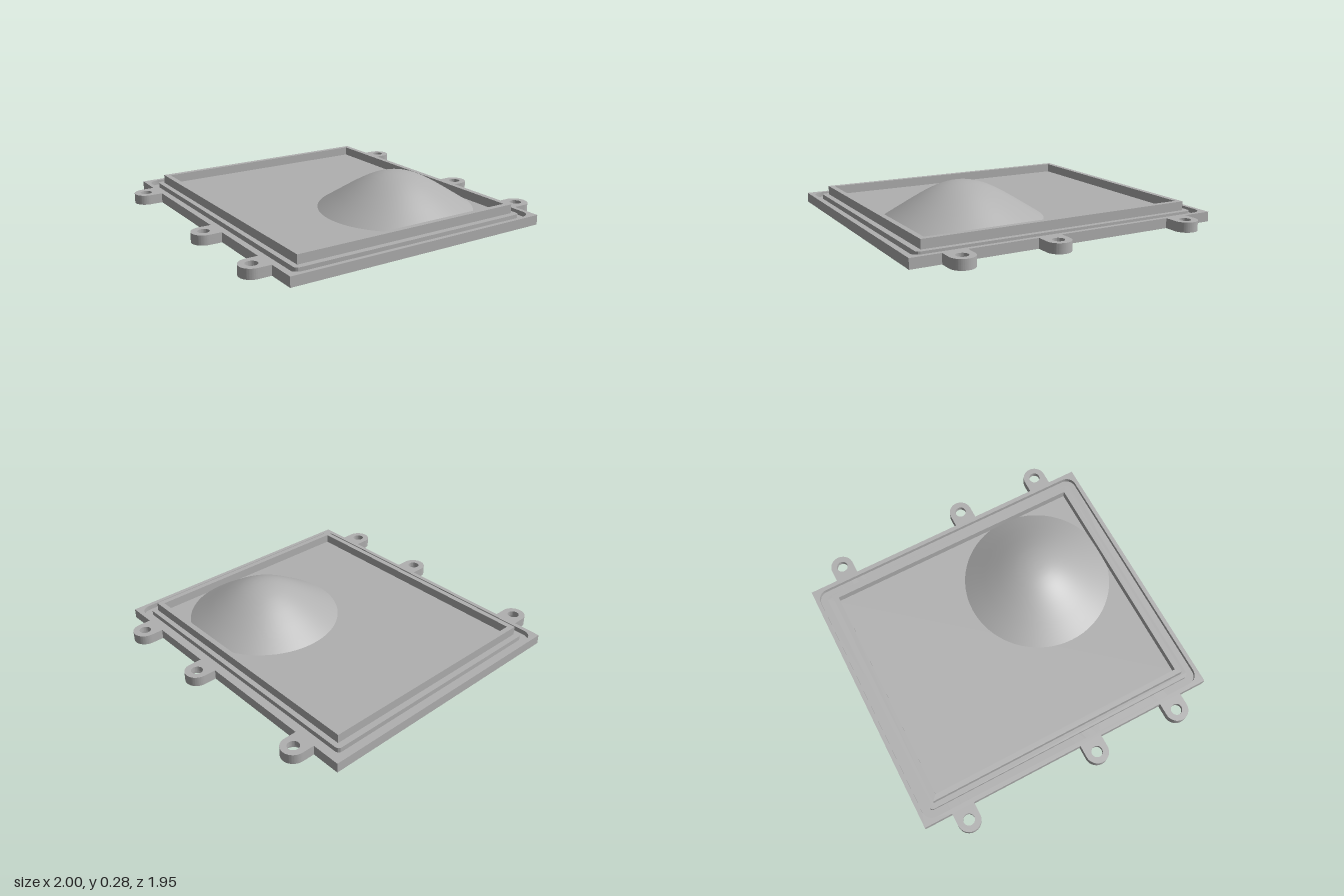
import * as THREE from 'three';
import { toCreasedNormals } from 'three/addons/utils/BufferGeometryUtils.js';

const grey = new THREE.MeshStandardMaterial({ color: 0xb0b0b0 });
grey.name = 'grey plastic';

const HALF_W = 0.85, HALF_D = 0.975;
const TAB_X = 0.927, TAB_R = 0.073, TAB_Z = [-0.722, 0.153, 0.722];
const DOME_X = 0.248, DOME_Z = 0.375;

// Plate outline with three round-ended tabs along each side (shape y is world z)
function plateOutline() {
  const s = new THREE.Shape();
  s.moveTo(-HALF_W, -HALF_D);
  s.lineTo(HALF_W, -HALF_D);
  for (const z of TAB_Z) {
    s.lineTo(HALF_W, z - TAB_R);
    s.lineTo(TAB_X, z - TAB_R);
    s.absarc(TAB_X, z, TAB_R, -Math.PI / 2, Math.PI / 2, false);
    s.lineTo(HALF_W, z + TAB_R);
  }
  s.lineTo(HALF_W, HALF_D);
  s.lineTo(-HALF_W, HALF_D);
  for (const z of [...TAB_Z].reverse()) {
    s.lineTo(-HALF_W, z + TAB_R);
    s.lineTo(-TAB_X, z + TAB_R);
    s.absarc(-TAB_X, z, TAB_R, Math.PI / 2, Math.PI * 1.5, false);
    s.lineTo(-HALF_W, z - TAB_R);
  }
  s.closePath();
  return s;
}

function roundedRect(w, d, r) {
  const s = new THREE.Shape();
  s.moveTo(-w + r, -d);
  s.lineTo(w - r, -d);
  if (r) s.absarc(w - r, -d + r, r, -Math.PI / 2, 0, false);
  s.lineTo(w, d - r);
  if (r) s.absarc(w - r, d - r, r, 0, Math.PI / 2, false);
  s.lineTo(-w + r, d);
  if (r) s.absarc(-w + r, d - r, r, Math.PI / 2, Math.PI, false);
  s.lineTo(-w, -d + r);
  if (r) s.absarc(-w + r, -d + r, r, Math.PI, Math.PI * 1.5, false);
  s.closePath();
  return s;
}

function circle(x, z, r) {
  const s = new THREE.Shape();
  s.absarc(x, z, r, 0, Math.PI * 2, false);
  return s;
}

function screwHoles(r) {
  return TAB_Z.flatMap((z) => [circle(-TAB_X, z, r), circle(TAB_X, z, r)]);
}

export function createModel() {
  const model = new THREE.Group();
  model.name = 'coverPlate';

  function slab(name, shape, holes, y0, y1) {
    shape.holes.push(...holes);
    let geo = new THREE.ExtrudeGeometry(shape, { depth: y1 - y0, bevelEnabled: false, curveSegments: 32 });
    geo.rotateX(Math.PI / 2);
    geo.translate(0, y1, 0);
    geo = toCreasedNormals(geo, 0.6);
    const mesh = new THREE.Mesh(geo, grey);
    mesh.name = name;
    model.add(mesh);
  }

  // Lower half of the plate: counterbored tabs and a ring groove under the dome
  slab('lowerPlate', plateOutline(), [...screwHoles(0.055), circle(DOME_X, DOME_Z, 0.512)], 0, 0.03);
  slab('domeBaseDisc', circle(DOME_X, DOME_Z, 0.492), [], 0, 0.03);

  // Upper half: outer rim and inner floor, leaving a seal groove between them
  slab('outerRim', plateOutline(), [...screwHoles(0.035), roundedRect(0.823, 0.949, 0.065)], 0.03, 0.06);
  slab('innerFloor', roundedRect(0.775, 0.901, 0.025), [], 0.03, 0.06);

  // Raised square-cornered wall
  slab('raisedWall', roundedRect(0.743, 0.864, 0), [roundedRect(0.71, 0.831, 0)], 0.06, 0.115);

  // Smooth bell-shaped dome
  const profile = new THREE.SplineCurve([
    [0.48, 0.056], [0.387, 0.115], [0.3, 0.17], [0.22, 0.217],
    [0.15, 0.251], [0.09, 0.271], [0.04, 0.28], [0, 0.282],
  ].map(([r, y]) => new THREE.Vector2(r, y))).getPoints(32);
  profile[profile.length - 1].x = 0;
  const dome = new THREE.Mesh(new THREE.LatheGeometry(profile, 72), grey);
  dome.name = 'dome';
  dome.position.set(DOME_X, 0, DOME_Z);
  model.add(dome);

  return model;
}
